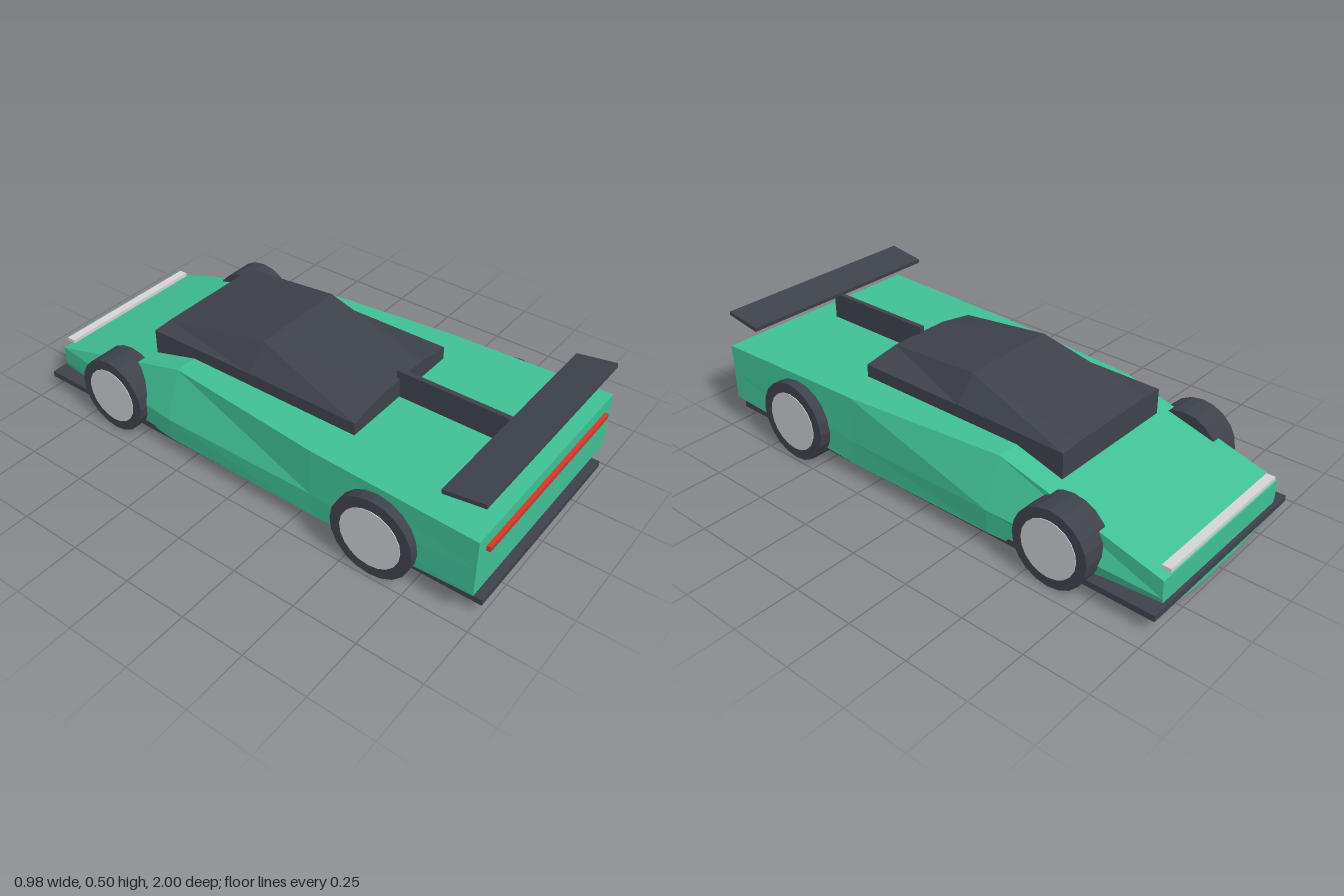
import * as THREE from 'three';

const paint = (name, color) => {
  const m = new THREE.MeshStandardMaterial({ color, flatShading: true });
  m.name = name;
  return m;
};

// Skins a row of half sections (top centre to bottom centre, +x side), ordered from +z to -z.
function loft(sections) {
  const rings = sections.map(({ z, half }) => {
    const right = half.map(([x, y]) => new THREE.Vector3(x, y, z)).reverse();
    const left = half.map(([x, y]) => new THREE.Vector3(-x, y, z));
    return [...right, ...left]; // counter-clockwise seen from +z
  });
  const pos = [];
  const tri = (...pts) => pts.forEach((p) => pos.push(p.x, p.y, p.z));
  const n = rings[0].length;
  for (let s = 0; s < rings.length - 1; s++) {
    const a = rings[s], b = rings[s + 1];
    for (let i = 0; i < n; i++) {
      const j = (i + 1) % n;
      tri(a[i], b[i], a[j]);
      tri(b[i], b[j], a[j]);
    }
  }
  const first = rings[0], last = rings[rings.length - 1];
  for (let i = 1; i < n - 1; i++) {
    tri(first[0], first[i], first[i + 1]);
    tri(last[0], last[i + 1], last[i]);
  }
  const g = new THREE.BufferGeometry();
  g.setAttribute('position', new THREE.Float32BufferAttribute(pos, 3));
  g.computeVertexNormals();
  return g;
}

export function createModel() {
  const car = new THREE.Group();
  car.name = 'raceCar';
  const green = paint('bodyGreen', 0x40c095);
  const dark = paint('darkGrey', 0x3e424b);
  const silver = paint('rimSilver', 0xc4c7cd);
  const red = paint('lampRed', 0xcf3a2a);
  const white = paint('lampWhite', 0xd2d4d6);

  const add = (name, geometry, material, x = 0, y = 0, z = 0, parent = car) => {
    const mesh = new THREE.Mesh(geometry, material);
    mesh.name = name;
    mesh.position.set(x, y, z);
    parent.add(mesh);
    return mesh;
  };
  const box = (name, material, w, h, d, x, y, z) =>
    add(name, new THREE.BoxGeometry(w, h, d), material, x, y, z);

  // Wedge body: top edge, waist, sill and keel points of each section
  add('body', loft([
    { z: 0.985, half: [[0.46, 0.355], [0.46, 0.24], [0.46, 0.125], [0.12, 0.125]] },
    { z: 0.33, half: [[0.435, 0.355], [0.44, 0.17], [0.435, 0.07], [0.12, 0.065]] },
    { z: -0.33, half: [[0.37, 0.355], [0.44, 0.17], [0.43, 0.07], [0.12, 0.06]] },
    { z: -0.985, half: [[0.36, 0.17], [0.36, 0.1], [0.34, 0.035], [0.12, 0.01]] },
  ]), green);

  // Canopy with a raised roof line
  add('canopy', loft([
    { z: 0.395, half: [[0.13, 0.43], [0.28, 0.405], [0.28, 0.3]] },
    { z: -0.06, half: [[0.2, 0.5], [0.28, 0.405], [0.28, 0.3]] },
    { z: -0.525, half: [[0.2, 0.405], [0.28, 0.4], [0.28, 0.27]] },
  ]), dark);

  // Flat floor, spine fin and tilted rear wing
  box('floor', dark, 0.84, 0.024, 2, 0, 0.067, 0);
  box('fin', dark, 0.02, 0.115, 0.49, 0, 0.4035, 0.625);
  const wing = box('rearWing', dark, 0.89, 0.016, 0.155, 0, 0.479, 0.909);
  wing.rotation.x = -0.155;

  // Light bars
  box('tailLight', red, 0.82, 0.02, 0.015, 0, 0.295, 0.9925);
  box('headLight', white, 0.66, 0.015, 0.035, 0, 0.194, -0.972);

  // Wheels: tyre with a thin rim disc on the outer face
  const wheel = (name, side, radius, inner, outer, y, z) => {
    const group = new THREE.Group();
    group.name = name;
    group.position.set(side * (inner + outer) / 2, y, z);
    group.rotation.z = -side * Math.PI / 2; // local +y points outward
    car.add(group);
    const width = outer - inner;
    add('tyre', new THREE.CylinderGeometry(radius, radius, width, 20), dark, 0, 0, 0, group);
    add('rim', new THREE.CylinderGeometry(radius * 0.74, radius * 0.74, 0.006, 20),
      silver, 0, width / 2, 0, group);
  };
  for (const side of [1, -1]) {
    const label = side > 0 ? 'Left' : 'Right';
    wheel(`rearWheel${label}`, side, 0.162, 0.335, 0.487, 0.167, 0.61);
    wheel(`frontWheel${label}`, side, 0.152, 0.33, 0.457, 0.16, -0.61);
  }
  return car;
}
